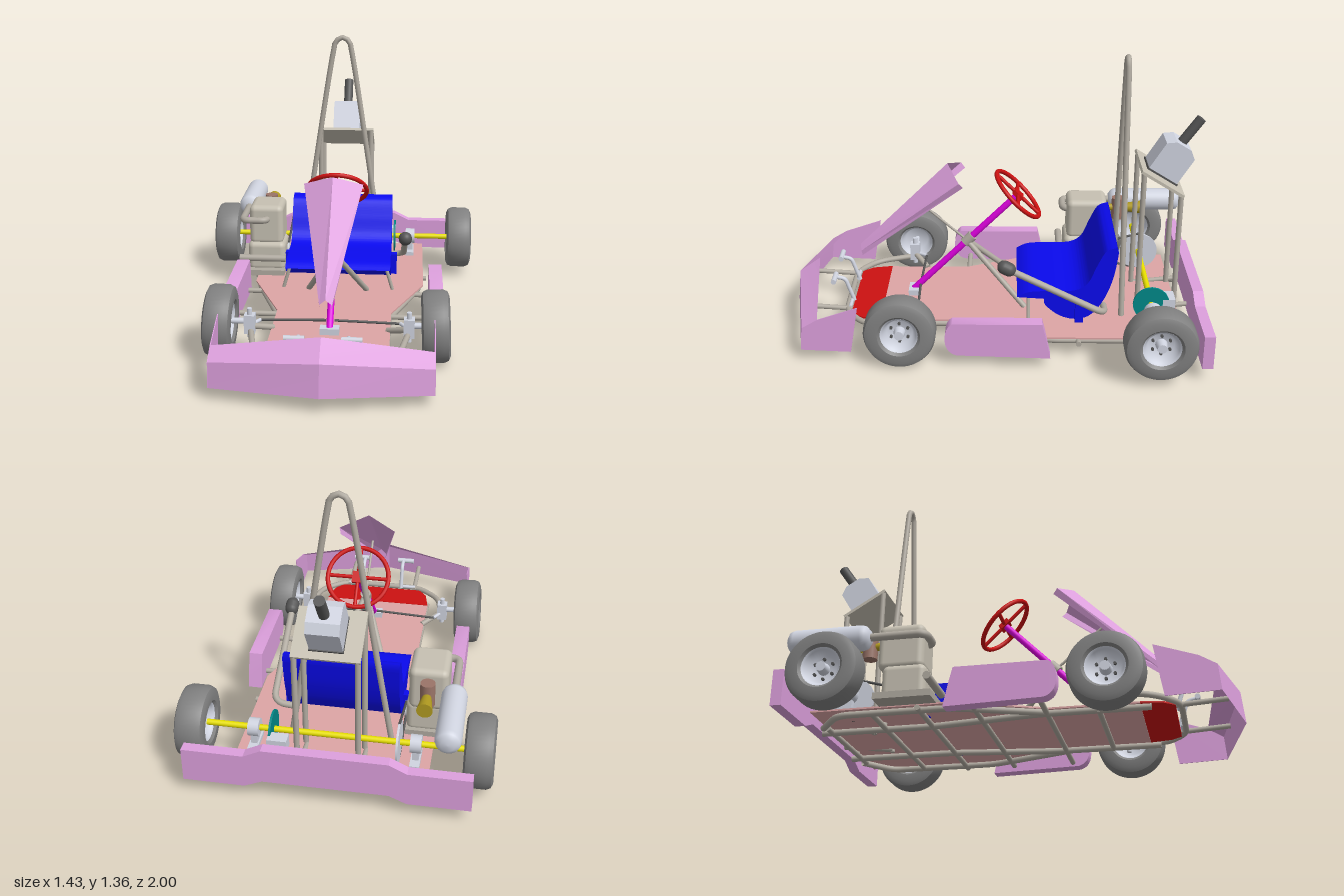
import * as THREE from 'three';
import { toCreasedNormals, mergeVertices } from 'three/addons/utils/BufferGeometryUtils.js';
import { RoundedBoxGeometry } from 'three/addons/geometries/RoundedBoxGeometry.js';

const PINK = 0xdda0dd, TUBE = 0xb0aaa0, SILVER = 0xd0d4e0, TAN = 0xc6c0b2, RED = 0xcc1111;
const BLUE = 0x0a0aee, SALMON = 0xdda5a5, TYRE = 0x808080, MAGENTA = 0xdd00dd, YELLOW = 0xe8e000;
const TEAL = 0x008888, BRASS = 0xb09a20, BROWN = 0x9a7468, DARK = 0x555555;
const V = (p) => new THREE.Vector3(...p);

export function createModel() {
  const root = new THREE.Group();
  root.name = 'goKart';
  const mats = {};
  const mat = (c) => (mats[c] ??= new THREE.MeshStandardMaterial({ color: c, side: THREE.DoubleSide }));
  const add = (name, geo, color, pos = [0, 0, 0], parent = root) => {
    const m = new THREE.Mesh(geo, mat(color));
    m.name = name;
    m.position.set(...pos);
    parent.add(m);
    return m;
  };
  const box = (name, size, pos, color, parent) => add(name, new THREE.BoxGeometry(...size), color, pos, parent);
  // straight rod between two points, optionally tapered
  const rod = (name, a, b, r, color, r2 = r, parent = root) => {
    const d = V(b).sub(V(a));
    const m = add(name, new THREE.CylinderGeometry(r2, r, d.length(), 20), color, V(a).addScaledVector(d, 0.5).toArray(), parent);
    m.quaternion.setFromUnitVectors(V([0, 1, 0]), d.normalize());
    return m;
  };
  // bent tube: straight runs joined by rounded corners
  const bent = (name, pts, r, color, bend = 0.06) => {
    const p = pts.map(V), path = new THREE.CurvePath();
    let last = p[0];
    for (let i = 1; i < p.length - 1; i++) {
      const a = p[i].clone().add(p[i - 1].clone().sub(p[i]).setLength(bend));
      const b = p[i].clone().add(p[i + 1].clone().sub(p[i]).setLength(bend));
      path.add(new THREE.LineCurve3(last, a));
      path.add(new THREE.QuadraticBezierCurve3(a, p[i], b));
      last = b;
    }
    path.add(new THREE.LineCurve3(last, p[p.length - 1]));
    return add(name, new THREE.TubeGeometry(path, 72, r, 12), color);
  };
  const shape = (pts) => new THREE.Shape(pts.map((p) => new THREE.Vector2(...p)));
  // profile in (z, y) swept from x0 to x1
  const across = (name, s, x0, x1, color) => {
    const g = new THREE.ExtrudeGeometry(s, { depth: x1 - x0, bevelEnabled: false, curveSegments: 12 });
    g.rotateY(-Math.PI / 2).translate(x1, 0, 0);
    return add(name, toCreasedNormals(g, 0.6), color);
  };
  // outline in (x, z) laid flat
  const flat = (name, pts, y, t, color) => {
    const g = new THREE.ExtrudeGeometry(shape(pts), { depth: t, bevelEnabled: false });
    return add(name, g.rotateX(Math.PI / 2), color, [0, y, 0]);
  };
  // folded sheet spanned between rows of points
  const sheet = (name, rows, color) => {
    const n = rows[0].length, idx = [];
    for (let i = 0; i < rows.length - 1; i++)
      for (let j = 0; j < n - 1; j++) {
        const a = i * n + j;
        idx.push(a, a + n, a + 1, a + 1, a + n, a + n + 1);
      }
    const g = new THREE.BufferGeometry();
    g.setAttribute('position', new THREE.Float32BufferAttribute(rows.flat(2), 3));
    g.setIndex(idx);
    return add(name, toCreasedNormals(g, 0.1), color);
  };

  // Wheels: lathe tyre, recessed rim, hub and bolts; outer face is +y before turning
  const wheel = (name, x, y, z, r, w, camber) => {
    const g = new THREE.Group(), side = Math.sign(x), h = w / 2;
    g.name = name;
    const prof = [[0.088, -h + 0.012], [0.1, -h], [r - 0.03, -h], [r - 0.009, -h + 0.009], [r, -h + 0.03], [r, h - 0.03],
      [r - 0.009, h - 0.009], [r - 0.03, h], [0.1, h], [0.088, h - 0.012], [0.088, -h + 0.012]];
    const tyre = new THREE.LatheGeometry(prof.map((p) => new THREE.Vector2(...p)), 48);
    add('tyre', toCreasedNormals(tyre, 0.7), TYRE, [0, 0, 0], g);
    const rim = [[0, 0.01], [0.06, 0.01], [0.078, h - 0.02], [0.088, h - 0.012]];
    for (const s of [1, -1])
      add('rim', new THREE.LatheGeometry(rim.map(([a, b]) => new THREE.Vector2(a, b * s)), 40), SILVER, [0, 0, 0], g);
    add('hub', new THREE.CylinderGeometry(0.022, 0.028, 0.05, 20), SILVER, [0, 0.03, 0], g);
    for (let i = 0; i < 6; i++)
      add('bolt', new THREE.CylinderGeometry(0.007, 0.007, 0.012, 8), DARK,
        [0.045 * Math.cos(i * Math.PI / 3), 0.015, 0.045 * Math.sin(i * Math.PI / 3)], g);
    g.position.set(x, y, z);
    g.rotation.z = -side * (Math.PI / 2 - camber);
    root.add(g);
  };
  for (const s of [-1, 1]) {
    wheel(s < 0 ? 'rearWheelRight' : 'rearWheelLeft', s * 0.647, 0.205, -0.755, 0.167, 0.134, 0);
    wheel(s < 0 ? 'frontWheelRight' : 'frontWheelLeft', s * 0.5, 0.172, 0.435, 0.168, 0.13, 0.04);
  }

  // Floor and foot panel
  flat('floorPan', [[-0.43, -0.9], [0.45, -0.9], [0.45, -0.24], [0.29, 0.15], [0.29, 0.55], [-0.27, 0.55], [-0.27, 0.15], [-0.43, -0.24]], 0.11, 0.008, SALMON);
  flat('footPanel', [[-0.27, 0.55], [0.29, 0.55], [0.27, 0.65], [0.23, 0.7], [-0.21, 0.7], [-0.25, 0.65]], 0.112, 0.008, RED);

  // Chassis tubes
  for (const s of [-1, 1]) {
    const X = (x) => 0.008 + s * x;
    bent('mainRail', [[X(0.2), 0.085, -0.93], [X(0.2), 0.085, -0.4], [X(0.27), 0.085, 0.1], [X(0.27), 0.085, 0.6]], 0.015, TUBE);
    bent('sideRail', [[X(0.27), 0.085, -0.9], [X(0.42), 0.085, -0.78], [X(0.42), 0.085, -0.25], [X(0.28), 0.085, 0.14]], 0.015, TUBE);
    rod('rearBumperMount', [X(0.138), 0.1, -0.7], [X(0.138), 0.13, -0.97], 0.012, TUBE);
    rod('noseMount', [X(0.185), 0.115, 0.7], [X(0.185), 0.13, 0.93], 0.012, TUBE);
    rod('columnBrace', [X(0), 0.41, 0.145], [X(0.15), 0.11, -0.15], 0.014, TUBE);
    // front axle parts
    rod('spindleArm', [X(0.27), 0.11, 0.36], [X(0.37), 0.15, 0.44], 0.014, TUBE);
    box('spindleBracket', [0.05, 0.09, 0.05], [X(0.37), 0.16, 0.435], SILVER);
    rod('kingPin', [X(0.37), 0.09, 0.435], [X(0.37), 0.235, 0.435], 0.012, SILVER);
    rod('stubAxle', [X(0.36), 0.17, 0.435], [X(0.5), 0.172, 0.435], 0.014, SILVER);
    rod('steeringArm', [X(0.37), 0.15, 0.435], [X(0.33), 0.15, 0.37], 0.009, SILVER);
    rod('tieRod', [X(0.33), 0.15, 0.37], [X(0.02), 0.16, 0.375], 0.006, DARK);
    // pedals
    bent('pedal', [[X(0.11), 0.12, 0.7], [X(0.11), 0.24, 0.74], [X(0.11), 0.25, 0.79]], 0.01, SILVER, 0.02);
    rod('pedalBar', [X(0.08), 0.25, 0.79], [X(0.17), 0.25, 0.79], 0.013, SILVER);
    rod('pedalPivot', [X(0.1), 0.125, 0.71], [X(0.19), 0.125, 0.71], 0.009, SILVER);
    // side pods
    const pod = new THREE.Shape();
    pod.moveTo(-0.225, 0.23);
    pod.lineTo(-0.24, 0.17);
    pod.lineTo(-0.265, 0.052);
    pod.lineTo(0.17, 0.065);
    pod.quadraticCurveTo(0.225, 0.08, 0.225, 0.15);
    pod.quadraticCurveTo(0.225, 0.21, 0.19, 0.23);
    across('sidePod', pod, X(0.5) - 0.033, X(0.5) + 0.033, PINK);
    // cage posts
    rod('frontPost', [0.015 + s * 0.137, 0.09, -0.705], [0.015 + s * 0.137, 0.825, -0.705], 0.013, TUBE);
    rod('rearPost', [0.015 + s * 0.137, 0.09, -0.885], [0.015 + s * 0.137, 0.71, -0.885], 0.013, TUBE);
    // axle bearings
    box('bearingFoot', [0.045, 0.02, 0.14], [X(0.37), 0.12, -0.755], SILVER);
    box('bearingBlock', [0.03, 0.1, 0.05], [X(0.37), 0.17, -0.755], SILVER);
    rod('bearing', [X(0.345), 0.205, -0.755], [X(0.395), 0.205, -0.755], 0.042, SILVER);
    box('seatBracket', [0.03, 0.12, 0.04], [X(0.285), 0.16, -0.41], BLUE);
    rod('seatStay', [X(0.285), 0.1, -0.165], [X(0.25), 0.22, -0.165], 0.009, TUBE);
  }
  for (const [z, x] of [[-0.88, 0.27], [-0.62, 0.42], [-0.4, 0.46], [-0.16, 0.49], [0.14, 0.49], [0.37, 0.28]])
    rod('crossTube', [0.008 - x, 0.085, z], [0.008 + x, 0.085, z], 0.013, TUBE);
  bent('frontLoop', [[-0.36, 0.13, 0.43], [-0.32, 0.115, 0.63], [-0.2, 0.115, 0.725], [0.216, 0.115, 0.725], [0.336, 0.115, 0.63], [0.376, 0.13, 0.43]], 0.014, TUBE);

  // Nose: folded front with swept end plates
  const noseRow = (x, pts) => pts.map(([y, z]) => [x, y, z]);
  const noseEnd = [[0.22, 0.82], [0.175, 0.895], [0.06, 0.905]];
  sheet('nose', [noseRow(-0.475, noseEnd), noseRow(0.008, [[0.3, 0.88], [0.225, 0.985], [0.075, 1]]), noseRow(0.49, noseEnd)], PINK);
  for (const x of [-0.477, 0.488])
    across('noseEndPlate', shape([[0.905, 0.06], [0.895, 0.175], [0.82, 0.22], [0.63, 0.285], [0.67, 0.05]]), x, x + 0.004, PINK);

  // Steering fairing: ridged, tapering panel with turned edges
  const fairRow = (w, ry, rz, ey, ez, fy, fz) => [[-w * 0.93, fy, fz], [-w, ey, ez], [0, ry, rz], [w, ey, ez], [w * 0.93, fy, fz]].map(([x, y, z]) => [x + 0.01, y, z]);
  sheet('steeringFairing', [fairRow(0.14, 0.815, 0.23, 0.765, 0.17, 0.74, 0.15), fairRow(0.028, 0.38, 0.67, 0.355, 0.665, 0.33, 0.66)], PINK);
  rod('fairingStay', [0.01, 0.6, 0.36], [0.01, 0.41, 0.145], 0.006, TUBE);

  // Steering column and wheel
  rod('steeringColumn', [0.008, 0.12, 0.42], [0.008, 0.65, -0.11], 0.016, MAGENTA);
  rod('columnCollar', [0.008, 0.39, 0.15], [0.008, 0.43, 0.11], 0.026, TUBE);
  box('columnFoot', [0.09, 0.03, 0.05], [0.008, 0.125, 0.41], SILVER);
  const steer = new THREE.Group();
  steer.name = 'steeringWheel';
  steer.position.set(0.008, 0.655, -0.113);
  steer.rotation.x = -Math.PI / 4;
  root.add(steer);
  add('rim', new THREE.TorusGeometry(0.147, 0.011, 12, 56).rotateX(Math.PI / 2), RED, [0, 0, 0], steer);
  box('hub', [0.055, 0.022, 0.055], [0, 0, 0], RED, steer);
  for (let i = 0; i < 4; i++)
    rod('spoke', [0, 0, 0], [0.147 * Math.cos(i * Math.PI / 2), 0, 0.147 * Math.sin(i * Math.PI / 2)], 0.009, RED, 0.009, steer);

  // Seat
  const seat = new THREE.Shape();
  seat.moveTo(-0.582, 0.497);
  seat.splineThru([[-0.53, 0.475], [-0.49, 0.4], [-0.45, 0.31], [-0.39, 0.27], [-0.28, 0.265], [-0.17, 0.258], [-0.11, 0.23]].map((p) => new THREE.Vector2(...p)));
  seat.lineTo(-0.24, 0.222);
  seat.splineThru([[-0.25, 0.185], [-0.32, 0.13], [-0.4, 0.113], [-0.47, 0.14], [-0.53, 0.225], [-0.57, 0.34], [-0.59, 0.47]].map((p) => new THREE.Vector2(...p)));
  across('seat', seat, -0.26, 0.278, BLUE);

  // Tall hoop behind the seat
  const hoop = [[-0.235, 0.09], [-0.17, 0.5], [-0.047, 1.28], [-0.035, 1.325], [0, 1.346], [0.035, 1.325], [0.047, 1.28], [0.17, 0.5], [0.235, 0.09]];
  add('rollHoop', new THREE.TubeGeometry(new THREE.CatmullRomCurve3(hoop.map(([x, y]) => V([x, y, -0.62])), false, 'centripetal'), 90, 0.014, 12), TUBE);

  // Sloped plate on the cage with its box and spout
  const top = new THREE.Group();
  top.name = 'cageTop';
  top.position.set(0.015, 0.772, -0.795);
  top.rotation.x = -0.55;
  root.add(top);
  box('cagePlate', [0.3, 0.014, 0.24], [0, 0, 0], TAN, top);
  box('boxSeal', [0.15, 0.012, 0.17], [0, 0.01, 0], DARK, top);
  const tank = new THREE.ExtrudeGeometry(shape([[0.08, 0], [0.08, 0.15], [0.04, 0.18], [-0.04, 0.18], [-0.08, 0.15], [-0.08, 0]]), { depth: 0.145, bevelEnabled: false });
  add('tank', tank.rotateY(-Math.PI / 2).translate(0.0725, 0, 0), SILVER, [0, 0.012, 0], top);
  rod('spout', [0, 0.18, 0], [0, 0.335, -0.01], 0.024, DARK, 0.024, top);

  // Rear bumper
  const bumper = [[-0.64, 0.07], [-0.36, 0.07], [-0.28, 0.105], [0.28, 0.105], [0.36, 0.07], [0.64, 0.07], [0.64, 0.235], [0.36, 0.235], [0.28, 0.275], [-0.28, 0.275], [-0.36, 0.235], [-0.64, 0.235]];
  add('rearBumper', new THREE.ExtrudeGeometry(shape(bumper), { depth: 0.05, bevelEnabled: false }), PINK, [0.008, 0, -1]);

  // Rear axle, brake disc and driven sprocket
  rod('rearAxle', [-0.6, 0.205, -0.755], [0.6, 0.205, -0.755], 0.014, YELLOW);
  rod('brakeDisc', [0.285, 0.205, -0.755], [0.295, 0.205, -0.755], 0.088, TEAL);
  box('brakeCaliper', [0.09, 0.06, 0.06], [0.25, 0.2, -0.84], SILVER);
  rod('drivenSprocket', [-0.29, 0.205, -0.755], [-0.28, 0.205, -0.755], 0.1, SILVER);
  rod('driveSprocket', [-0.29, 0.2, -0.5], [-0.28, 0.2, -0.5], 0.035, SILVER);
  for (const [a, b] of [[0.305, 0.235], [0.105, 0.165]])
    rod('chainRun', [-0.285, a, -0.755], [-0.285, b, -0.5], 0.006, DARK);

  // Engine, intake and exhaust
  const block = (name, s, p) => add(name, new RoundedBoxGeometry(...s, 4, 0.03), TAN, p);
  block('engineTop', [0.18, 0.215, 0.21], [-0.392, 0.37, -0.48]);
  block('crankcase', [0.2, 0.16, 0.2], [-0.39, 0.2, -0.46]);
  rod('crankShaft', [-0.53, 0.2, -0.34], [-0.285, 0.2, -0.34], 0.018, TUBE);
  box('engineMount', [0.24, 0.03, 0.26], [-0.41, 0.122, -0.45], TUBE);
  rod('airIntake', [-0.395, 0.35, -0.65], [-0.395, 0.465, -0.65], 0.034, BROWN);
  rod('intakePipe', [-0.395, 0.41, -0.58], [-0.395, 0.41, -0.72], 0.018, BRASS);
  rod('intakeHorn', [-0.395, 0.41, -0.69], [-0.395, 0.41, -0.78], 0.022, BRASS, 0.036);
  bent('exhaustPipe', [[-0.385, 0.405, -0.4], [-0.385, 0.405, -0.355], [-0.515, 0.405, -0.355], [-0.515, 0.405, -0.62]], 0.018, TUBE, 0.04);
  const muffler = [[0, 0], [0.03, 0.002], [0.052, 0.02], [0.058, 0.04], [0.058, 0.35], [0.052, 0.37], [0.03, 0.385], [0, 0.387]];
  add('muffler', mergeVertices(new THREE.LatheGeometry(muffler.map((p) => new THREE.Vector2(...p)), 32)).rotateX(-Math.PI / 2), SILVER, [-0.515, 0.405, -0.605]);

  // Hand lever
  bent('handLever', [[0.24, 0.17, -0.53], [0.345, 0.18, -0.53], [0.35, 0.42, -0.06]], 0.016, TUBE, 0.06);
  add('leverKnob', new THREE.CapsuleGeometry(0.033, 0.025, 8, 20).rotateX(1.1), DARK, [0.352, 0.423, -0.06]);
  return root;
}
